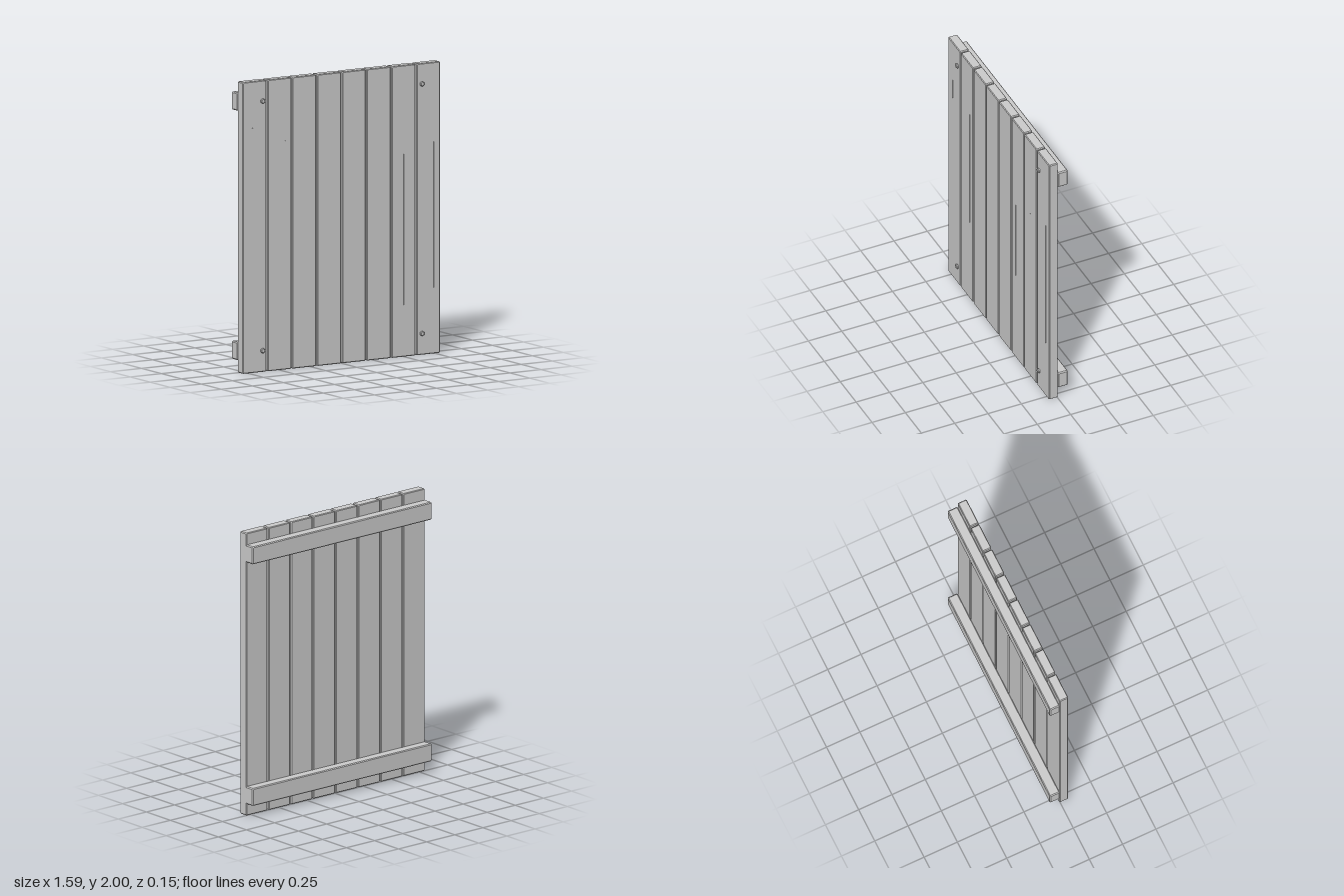
import * as THREE from 'three';

const material = new THREE.MeshStandardMaterial({ color: 0xcccccc, flatShading: true });

// Box with small chamfers on every edge, centred on its origin
function chamferedBox(w, h, d, c) {
  const x = w / 2 - c, y = h / 2 - c;
  const k = c * 0.6; // corner cut
  const shape = new THREE.Shape([
    [-x + k, -y], [x - k, -y], [x, -y + k], [x, y - k],
    [x - k, y], [-x + k, y], [-x, y - k], [-x, -y + k],
  ].map(([px, py]) => new THREE.Vector2(px, py)));
  const geometry = new THREE.ExtrudeGeometry(shape, {
    depth: d - 2 * c, bevelEnabled: true, bevelSize: c, bevelThickness: c, bevelSegments: 1,
  });
  return geometry.translate(0, 0, -(d - 2 * c) / 2);
}

export function createModel() {
  const model = new THREE.Group();
  model.name = 'plankPanel';

  function add(name, geometry, x, y, z) {
    const mesh = new THREE.Mesh(geometry, material);
    mesh.name = name;
    mesh.position.set(x, y, z);
    model.add(mesh);
  }

  // Eight upright planks with narrow gaps
  const front = 0.062, back = -0.004;
  const plank = chamferedBox(0.19, 2, front - back, 0.005);
  for (let i = 0; i < 8; i++) {
    add('plank', plank, -0.7 + i * 0.1995, 1, (front + back) / 2);
  }

  // Two battens across the back
  const batten = chamferedBox(1.594, 0.124, 0.074, 0.006);
  for (const y of [0.147, 1.858]) add('batten', batten, 0, y, -0.04);

  // Hexagonal bolts: shank, wide head and low cap, turned along z
  const bolt = new THREE.LatheGeometry([
    [0.012, -0.006], [0.012, 0.004], [0.018, 0.005], [0.018, 0.011], [0.013, 0.015], [0, 0.015],
  ].map(([r, h]) => new THREE.Vector2(r, h)), 6).rotateX(Math.PI / 2);
  for (const x of [-0.64, 0.64]) {
    for (const y of [0.147, 1.86]) add('bolt', bolt, x, y, front);
  }

  // Thin raised grain strips on the front: x, bottom, top
  const grain = [
    [-0.72, 1.53, 1.68], [-0.455, 0.65, 1.57], [0.268, 0.7, 1.3],
    [0.5, 0.355, 1.39], [0.74, 0.455, 1.455],
  ];
  for (const [x, bottom, top] of grain) {
    add('grainStrip', new THREE.BoxGeometry(0.006, top - bottom, 0.006), x, (bottom + top) / 2, front);
  }
  return model;
}
